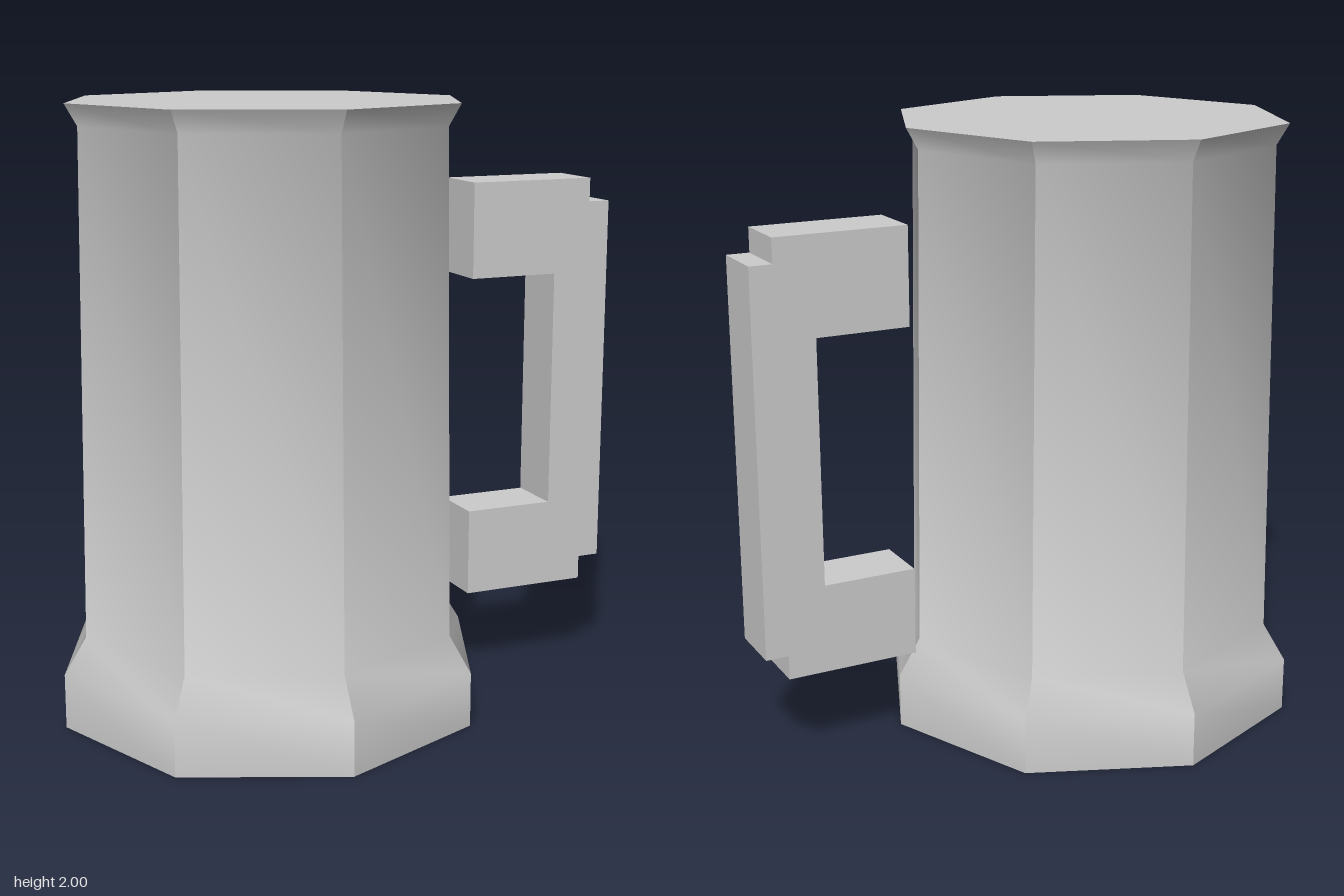
import * as THREE from 'three';
import { toCreasedNormals } from 'three/addons/utils/BufferGeometryUtils.js';

const vectors = (points) => points.map(([x, y]) => new THREE.Vector2(x, y));

export function createModel() {
  const group = new THREE.Group();
  const material = new THREE.MeshStandardMaterial({ color: 0xcccccc });

  // Eight-sided body with a flared foot and lip: smooth up each side, sharp at the corners
  const profile = vectors([
    [0, 0], [0.71, 0], [0.71, 0.18], [0.635, 0.3], [0.61, 1.93], [0.65, 2], [0, 2],
  ]);
  const bodyGeometry = toCreasedNormals(
    new THREE.LatheGeometry(profile, 8), THREE.MathUtils.degToRad(35));
  const body = new THREE.Mesh(bodyGeometry, material);
  body.name = 'mugBody';
  body.position.x = -0.25;
  group.add(body);

  // Square C-shaped handle with stepped outer corners
  const outline = new THREE.Shape(vectors([
    [0.445, 0.3], [0.885, 0.3], [0.885, 0.38], [0.96, 0.38],
    [0.96, 1.64], [0.885, 1.64], [0.885, 1.72], [0.445, 1.72],
    [0.445, 1.4], [0.755, 1.4], [0.755, 0.595], [0.445, 0.595],
  ]));
  const depth = 0.2;
  const handleGeometry = new THREE.ExtrudeGeometry(outline, { depth, bevelEnabled: false });
  const handle = new THREE.Mesh(handleGeometry, material);
  handle.name = 'handle';
  handle.position.z = -depth / 2;
  group.add(handle);

  return group;
}
